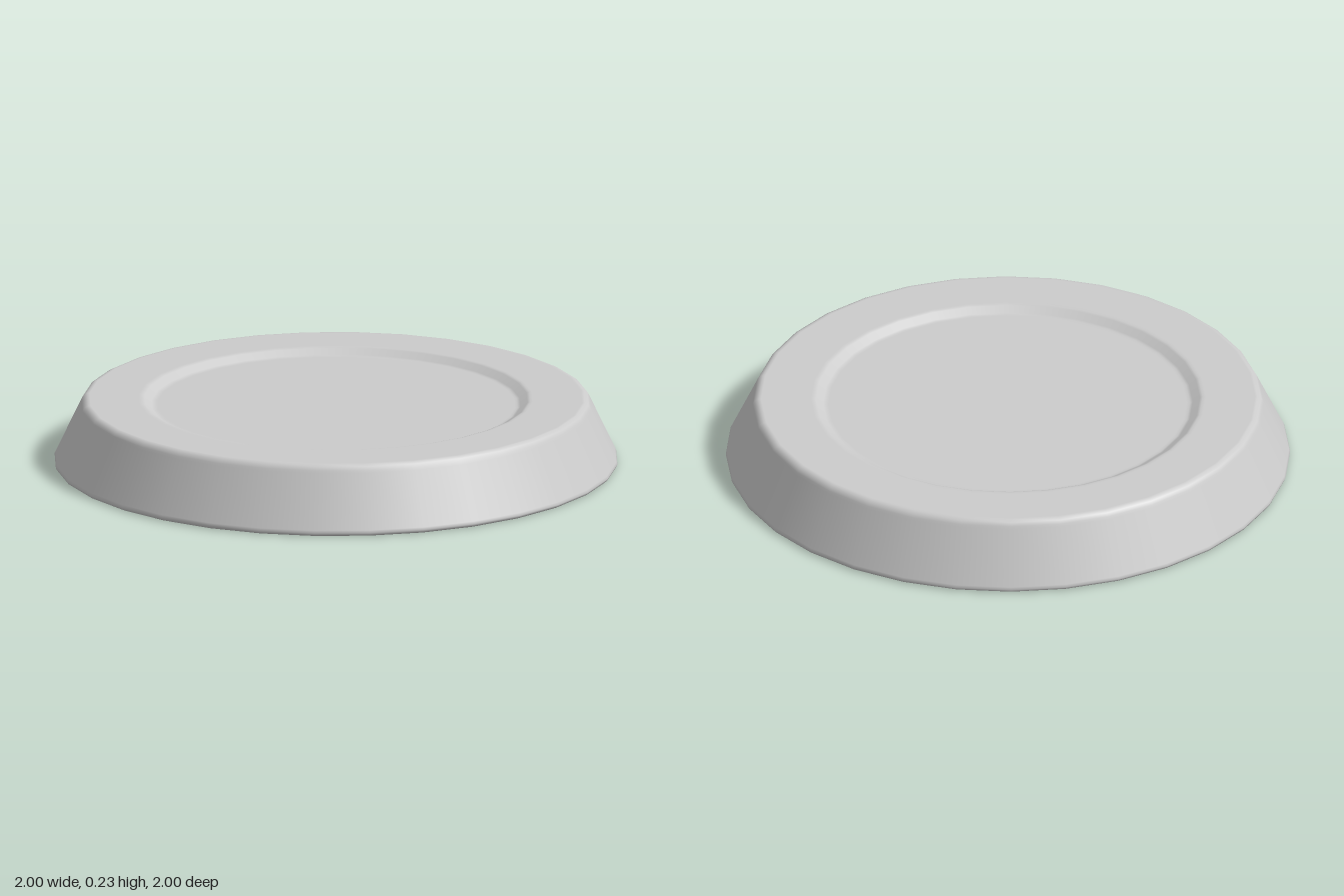
import * as THREE from 'three';

export function createModel() {
  const group = new THREE.Group();
  const material = new THREE.MeshStandardMaterial({ color: 0xcccccc });

  // Half section from the underside centre, up the sloped rim, into the shallow recess.
  // Paired points beside each bevel keep the broad faces evenly shaded.
  const profile = [
    [0, 0], [0.98, 0], [0.99, 0],
    [0.997, 0.004], [1, 0.012], [0.996, 0.021],
    [0.908, 0.207], [0.904, 0.216], [0.897, 0.228], [0.884, 0.235], [0.875, 0.235],
    [0.7, 0.235], [0.69, 0.235],
    [0.68, 0.232], [0.655, 0.215],
    [0.645, 0.212], [0.635, 0.212], [0, 0.212],
  ].map(([r, y]) => new THREE.Vector2(r, y));

  const plate = new THREE.Mesh(new THREE.LatheGeometry(profile, 32), material);
  plate.name = 'recessedRoundBase';
  group.add(plate);
  return group;
}
